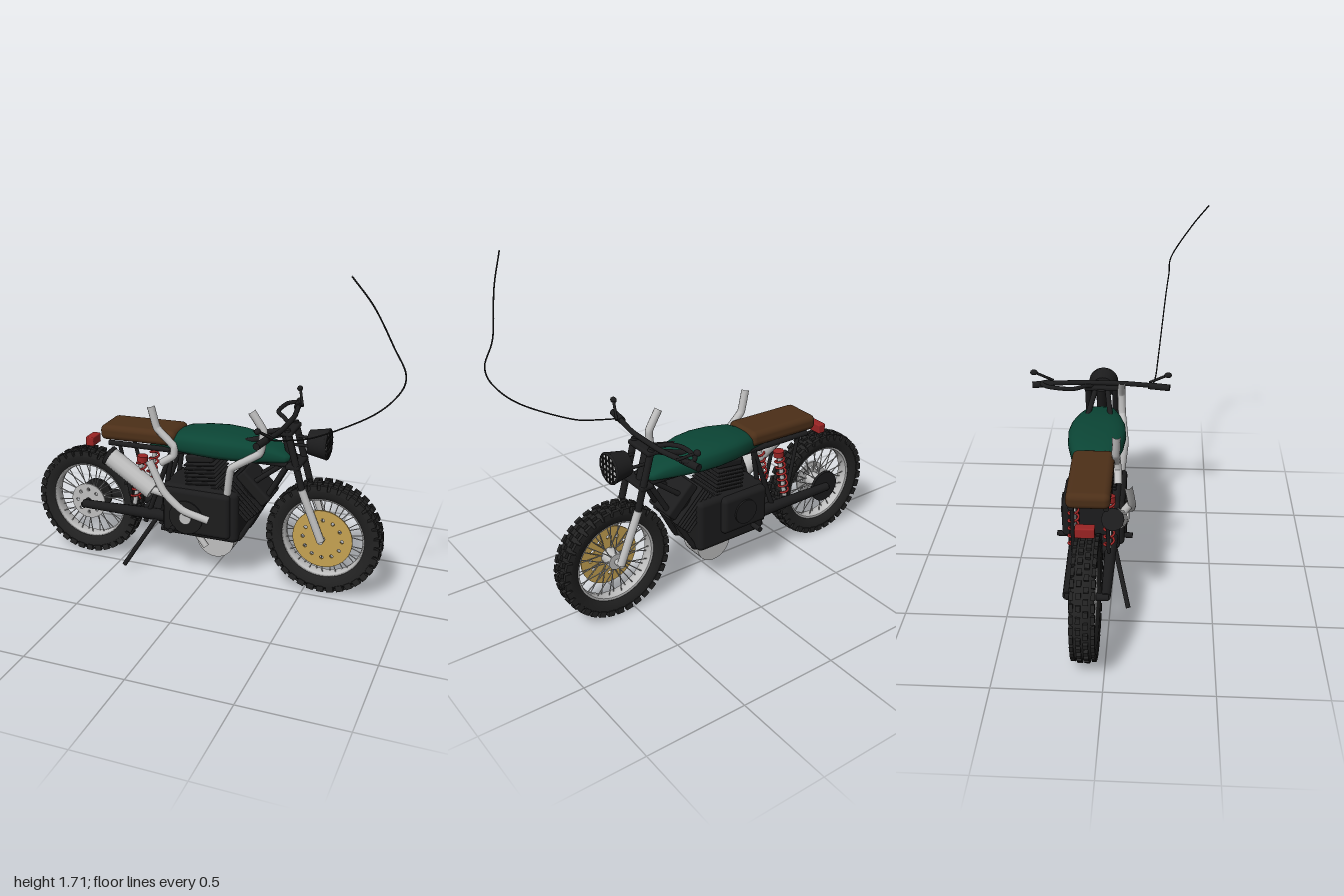
import * as THREE from 'three';
import { mergeGeometries, toCreasedNormals } from 'three/addons/utils/BufferGeometryUtils.js';
import { RoundedBoxGeometry } from 'three/addons/geometries/RoundedBoxGeometry.js';

const mat = (name, color, side = THREE.FrontSide) => {
  const m = new THREE.MeshStandardMaterial({ color, side });
  m.name = name;
  return m;
};
const V = (p) => new THREE.Vector3(...p);

export function createModel() {
  const rubber = mat('tyreRubber', 0x222222), black = mat('blackMetal', 0x1c1c1d);
  const leather = mat('brownLeather', 0x4c2f18), green = mat('greenPaint', 0x0b4535);
  const silver = mat('silverMetal', 0xbfbfbf), gold = mat('goldBrake', 0xc6a252);
  const red = mat('redPaint', 0x9a2424), lens = mat('lampLens', 0xdedede);

  const model = new THREE.Group();
  model.name = 'motorcycle';
  // All parts are placed around the bike's own centre plane
  const bike = new THREE.Group();
  bike.name = 'bike';
  bike.position.z = -0.09;
  model.add(bike);

  const add = (name, geo, material, pos = [0, 0, 0], parent = bike) => {
    const m = new THREE.Mesh(geo, material);
    m.name = name;
    m.position.set(...pos);
    parent.add(m);
    return m;
  };
  const rod = (name, a, b, r, material = black, r2 = r, parent = bike) => {
    const A = V(a), d = V(b).sub(A);
    const m = add(name, new THREE.CylinderGeometry(r2, r, d.length(), 12), material,
      A.clone().addScaledVector(d, 0.5).toArray(), parent);
    m.quaternion.setFromUnitVectors(new THREE.Vector3(0, 1, 0), d.normalize());
    return m;
  };
  const pipe = (name, pts, r, material = black, tension = 0.3) => add(name, new THREE.TubeGeometry(
    new THREE.CatmullRomCurve3(pts.map(V), false, 'catmullrom', tension), pts.length * 8, r, 10), material);
  const both = (fn) => [1, -1].forEach(fn);
  const ball = (name, p, r, material = black) => add(name, new THREE.SphereGeometry(r, 14, 10), material, p);
  const block = (name, p, s, r, material = black, parent = bike) =>
    add(name, new RoundedBoxGeometry(...s, 3, r), material, p, parent);
  const axle = (name, p, r, len, material = black, parent = bike) => {
    const m = add(name, new THREE.CylinderGeometry(r, r, len, 32), material, p, parent);
    m.rotation.x = Math.PI / 2;
    return m;
  };

  // Wheels: lathed tyre, knobs, rim, spokes and drilled brake disc
  const lathe = (pts) => new THREE.LatheGeometry(pts.map((p) => new THREE.Vector2(...p)), 64).rotateX(Math.PI / 2);
  const drilledDisc = (r, hole, ring, n) => {
    const s = new THREE.Shape().absarc(0, 0, r, 0, Math.PI * 2);
    for (let i = 0; i < n; i++) {
      const a = i / n * Math.PI * 2;
      s.holes.push(new THREE.Path().absarc(Math.cos(a) * ring, Math.sin(a) * ring, hole, 0, Math.PI * 2, true));
    }
    return new THREE.ExtrudeGeometry(s, { depth: 0.008, bevelEnabled: false, curveSegments: 20 });
  };
  const wheel = (name, x) => {
    const w = new THREE.Group();
    w.name = name;
    w.position.set(x, 0.3, 0);
    bike.add(w);
    add('tyre', toCreasedNormals(lathe([[0.21, -0.035], [0.235, -0.05], [0.262, -0.052], [0.276, -0.038], [0.28, 0],
      [0.276, 0.038], [0.262, 0.052], [0.235, 0.05], [0.21, 0.035], [0.21, -0.035]]), 0.8), rubber, [0, 0, 0], w);
    add('rim', lathe([[0.2, -0.03], [0.214, -0.036], [0.214, 0.036], [0.2, 0.03], [0.195, 0], [0.2, -0.03]]),
      silver, [0, 0, 0], w);
    const knobs = [];
    const n = 34;
    for (let i = 0; i < n; i++) {
      const a = i / n * Math.PI * 2, half = Math.PI / n;
      for (const s of [1, -1]) {
        knobs.push(new THREE.BoxGeometry(0.036, 0.03, 0.018).translate(0, 0.272, s * 0.047).rotateZ(a));
        knobs.push(new THREE.BoxGeometry(0.026, 0.02, 0.022).translate(0, 0.284, s * 0.016).rotateZ(a + (s > 0 ? half : 0)));
      }
    }
    add('treadKnobs', mergeGeometries(knobs), rubber, [0, 0, 0], w);
    for (let i = 0; i < 36; i++) {
      const a = i / 36 * Math.PI * 2, b = a + (i % 4 < 2 ? 0.25 : -0.25), s = i % 2 ? 1 : -1;
      rod('spoke', [Math.cos(b) * 0.04, Math.sin(b) * 0.04, s * 0.03],
        [Math.cos(a) * 0.203, Math.sin(a) * 0.203, s * 0.008], 0.0025, silver, 0.0025, w);
    }
    axle('hub', [0, 0, 0], 0.042, 0.075, silver, w);
    return w;
  };
  const front = wheel('frontWheel', 0.588), rear = wheel('rearWheel', -0.705);
  add('frontBrakeDisc', drilledDisc(0.152, 0.009, 0.1, 12), gold, [0, 0, 0.036], front);
  add('rearBrakeDisc', drilledDisc(0.098, 0.009, 0.065, 8), silver, [0, 0, 0.036], rear);
  axle('rearSprocket', [0, 0, -0.068], 0.085, 0.016, black, rear);
  axle('frontAxle', [0, 0, 0], 0.014, 0.17, silver, front);
  axle('rearAxle', [0, 0, 0], 0.018, 0.2, black, rear);

  // Fork, yokes and steering head
  both((s) => {
    rod('upperFork', [0.4, 0.86, s * 0.072], [0.5, 0.5, s * 0.072], 0.017);
    rod('lowerFork', [0.483, 0.56, s * 0.074], [0.588, 0.3, s * 0.074], 0.02, silver);
    rod('lampBracket', [0.42, 0.785, s * 0.06], [0.51, 0.785, s * 0.055], 0.008);
  });
  block('topYoke', [0.395, 0.84, 0], [0.07, 0.025, 0.18], 0.01);
  block('lowerYoke', [0.435, 0.67, 0], [0.07, 0.025, 0.18], 0.01);
  rod('steeringHead', [0.37, 0.84, 0], [0.42, 0.66, 0], 0.026);

  // Handlebar, grips, levers and cables
  pipe('handlebar', [[0.34, 0.866, 0.36], [0.36, 0.868, 0.26], [0.383, 0.866, 0.12], [0.385, 0.866, 0],
    [0.383, 0.866, -0.12], [0.36, 0.868, -0.26], [0.34, 0.866, -0.36]], 0.013);
  both((s) => {
    rod('grip', [0.34, 0.866, s * 0.36], [0.358, 0.867, s * 0.25], 0.018);
    rod('mirrorStalk', [0.385, 0.875, s * 0.255], [0.345, 0.935, s * 0.345], 0.007);
    ball('mirrorBall', [0.342, 0.937, s * 0.35], 0.015).scale.z = 1.3;
  });
  pipe('cableLoop', [[0.37, 0.875, -0.27], [0.345, 0.875, -0.31], [0.3, 0.875, -0.27], [0.29, 0.87, -0.15],
    [0.34, 0.865, -0.08], [0.39, 0.84, -0.04]], 0.011, black, 0.5);
  pipe('looseCable', [[0.35, 0.87, 0.27], [0.45, 0.885, 0.285], [0.6, 0.925, 0.295], [0.84, 1.055, 0.315], [0.96, 1.17, 0.33],
    [0.993, 1.27, 0.343], [0.937, 1.39, 0.355], [0.866, 1.575, 0.455], [0.785, 1.715, 0.543]], 0.0035, black, 0.5);

  // Headlamp with guard bars
  const lampX = new THREE.CylinderGeometry(0.077, 0.06, 0.09, 28).rotateZ(-Math.PI / 2);
  add('headlampShell', lampX, black, [0.54, 0.785, 0]);
  add('headlampLens', new THREE.CylinderGeometry(0.069, 0.069, 0.006, 28).rotateZ(-Math.PI / 2), lens, [0.587, 0.785, 0]);
  add('headlampRing', new THREE.TorusGeometry(0.072, 0.007, 8, 28).rotateY(Math.PI / 2), black, [0.587, 0.785, 0]);
  for (const o of [-0.042, -0.014, 0.014, 0.042]) {
    const l = Math.sqrt(0.07 ** 2 - o * o) * 2;
    add('guardBar', new THREE.BoxGeometry(0.006, l, 0.006), black, [0.593, 0.785, o]);
    add('guardBar', new THREE.BoxGeometry(0.006, 0.006, l), black, [0.593, 0.785 + o, 0]);
  }

  // Fuel tank from superelliptic sections: x, half width, bottom, top
  const sections = [[-0.34, 0.001, 0.668, 0.67], [-0.335, 0.045, 0.662, 0.68], [-0.2, 0.085, 0.664, 0.755], [-0.15, 0.115, 0.663, 0.778],
    [-0.05, 0.138, 0.662, 0.79], [0.05, 0.146, 0.66, 0.795], [0.14, 0.138, 0.66, 0.791], [0.24, 0.112, 0.662, 0.777],
    [0.33, 0.086, 0.668, 0.752], [0.39, 0.068, 0.675, 0.725], [0.41, 0.045, 0.685, 0.71], [0.414, 0.001, 0.695, 0.697]];
  const N = 28, pos = [], idx = [];
  const pow = (v) => Math.sign(v) * Math.abs(v) ** 0.7;
  sections.forEach(([x, w, b, t], i) => {
    for (let j = 0; j < N; j++) {
      const a = j / N * Math.PI * 2;
      pos.push(x, (b + t) / 2 + pow(Math.sin(a)) * (t - b) / 2, pow(Math.cos(a)) * w);
      if (i === sections.length - 1) continue;
      const p = i * N + j, q = i * N + (j + 1) % N;
      idx.push(p, p + N, q + N, p, q + N, q);
    }
  });
  const tank = new THREE.BufferGeometry();
  tank.setAttribute('position', new THREE.Float32BufferAttribute(pos, 3));
  tank.setIndex(idx);
  tank.computeVertexNormals();
  add('fuelTank', tank, green);

  // Seat and tail lamp
  block('seat', [-0.385, 0.731, 0], [0.42, 0.08, 0.205], 0.03, leather).rotation.z = 0.03;
  block('tailLamp', [-0.688, 0.64, -0.005], [0.045, 0.05, 0.09], 0.006, red);

  // Frame tubes, swingarm and shocks
  both((s) => {
    const z = s * 0.065;
    rod('backbone', [0.4, 0.83, s * 0.03], [0.14, 0.755, z], 0.014);
    rod('topRail', [0.4, 0.67, z * 0.7], [-0.55, 0.67, s * 0.08], 0.014);
    rod('downTube', [0.42, 0.7, s * 0.03], [0.16, 0.5, s * 0.07], 0.013);
    pipe('cradle', [[0.4, 0.67, s * 0.03], [0.17, 0.25, s * 0.08], [0.1, 0.235, s * 0.08], [-0.26, 0.235, s * 0.08]], 0.014, black, 0.1);
    rod('seatPost', [-0.2, 0.67, s * 0.08], [-0.35, 0.26, s * 0.085], 0.013);
    rod('rearStay', [-0.49, 0.67, s * 0.08], [-0.42, 0.35, s * 0.085], 0.01);
    rod('centrePost', [-0.2, 0.67, s * 0.075], [-0.26, 0.26, s * 0.085], 0.013);
    rod('swingarm', [-0.71, 0.303, s * 0.088], [-0.22, 0.31, s * 0.088], 0.022, black, 0.032);
    rod('shockRod', [-0.36, 0.62, s * 0.085], [-0.41, 0.35, s * 0.085], 0.012, silver);
    const coil = [];
    for (let i = 0; i <= 72; i++) {
      const a = i / 12 * Math.PI * 2, t = i / 72;
      coil.push([-0.363 - 0.043 * t + Math.cos(a) * 0.024, 0.6 - 0.225 * t, s * 0.085 + Math.sin(a) * 0.024]);
    }
    pipe('shockSpring', coil, 0.006, red);
    rod('shockTop', [-0.359, 0.625, s * 0.085], [-0.362, 0.595, s * 0.085], 0.028, red);
    rod('footPeg', [-0.165, 0.28, s * 0.09], [-0.165, 0.28, s * 0.19], 0.014);
  });
  block('pivotBracket', [-0.31, 0.3, 0], [0.13, 0.075, 0.16], 0.015);
  rod('kickstand', [-0.27, 0.31, 0.1], [-0.435, 0.035, 0.18], 0.012);

  // Engine cases
  block('engineCase', [-0.035, 0.37, 0], [0.41, 0.28, 0.26], 0.03);
  block('rightCover', [-0.045, 0.375, 0.125], [0.36, 0.24, 0.05], 0.022);
  block('leftCover', [-0.095, 0.4, -0.13], [0.27, 0.2, 0.06], 0.025);
  axle('leftCoverDisc', [-0.09, 0.4, -0.163], 0.065, 0.012);
  axle('clutchCover', [-0.095, 0.35, 0.152], 0.09, 0.012);
  axle('clutchHub', [-0.095, 0.35, 0.162], 0.032, 0.014, silver);
  axle('lowerDrum', [0.03, 0.21, 0], 0.1, 0.12, silver);
  rod('drainPipe', [-0.06, 0.24, 0.09], [-0.01, 0.175, 0.09], 0.016, silver);

  // Finned cylinders
  const finned = (name, x, y, angle, n, w, d, head) => {
    const g = new THREE.Group();
    g.name = name;
    g.position.set(x, y, 0);
    g.rotation.z = angle;
    bike.add(g);
    const h = n * 0.02;
    add('barrel', new THREE.CylinderGeometry(w * 0.4, w * 0.4, h, 24), black, [0, h / 2, 0], g);
    for (let i = 0; i < n; i++) block('fin', [0, i * 0.02 + 0.01, 0], [w, 0.009, d], 0.004, black, g);
    block('head', [0, h + head / 2, 0], [w * 0.9, head, d * 0.85], 0.012, black, g);
  };
  finned('rearCylinder', -0.03, 0.49, 0.12, 7, 0.165, 0.21, 0.04);
  finned('frontCylinder', 0.13, 0.425, -Math.PI / 4, 6, 0.22, 0.21, 0.06);

  // Exhausts
  pipe('frontExhaust', [[0.235, 0.945, 0.115], [0.295, 0.85, 0.11], [0.28, 0.735, 0.115], [0.14, 0.645, 0.135],
    [0.115, 0.5, 0.12]], 0.02, silver, 0.15);
  pipe('rearExhaust', [[-0.295, 0.91, 0.115], [-0.265, 0.795, 0.11], [-0.175, 0.71, 0.11], [-0.175, 0.66, 0.115],
    [-0.24, 0.615, 0.12]], 0.02, silver, 0.15);
  pipe('lowerExhaust', [[-0.285, 0.64, 0.17], [-0.2, 0.49, 0.185], [-0.1, 0.4, 0.18], [0.03, 0.355, 0.16]], 0.02, silver, 0.3);
  rod('muffler', [-0.53, 0.605, 0.11], [-0.29, 0.455, 0.12], 0.05, silver);
  rod('mufflerCap', [-0.545, 0.614, 0.11], [-0.528, 0.604, 0.11], 0.053);
  rod('mufflerLink', [-0.3, 0.46, 0.12], [-0.19, 0.47, 0.17], 0.02, silver);

  return model;
}
